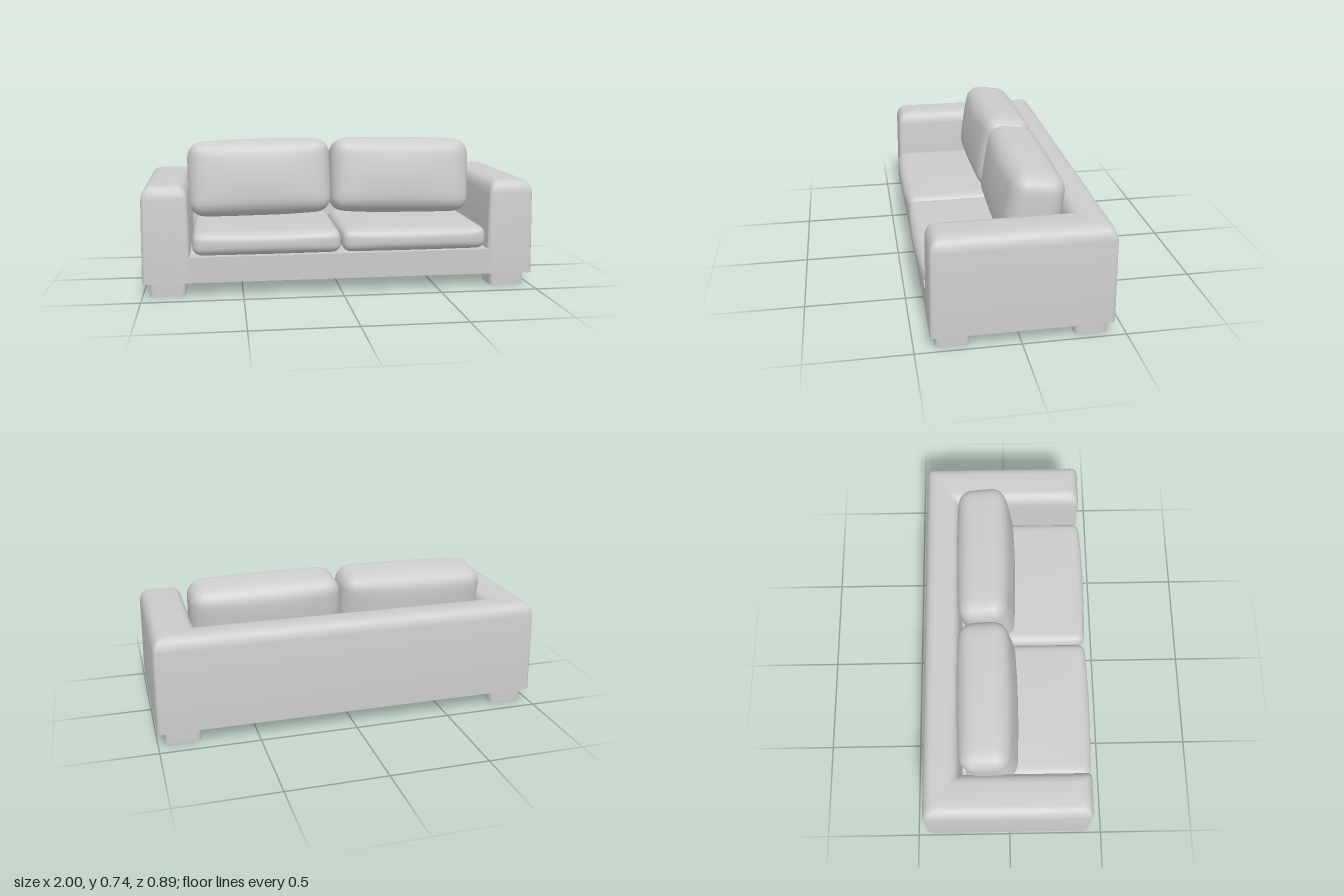
import * as THREE from 'three';
import { mergeVertices, toCreasedNormals } from 'three/addons/utils/BufferGeometryUtils.js';

const grey = new THREE.MeshStandardMaterial({ color: 0xcccccc });
const greyOpen = new THREE.MeshStandardMaterial({ color: 0xcccccc, side: THREE.DoubleSide });

function addMesh(parent, name, geometry, material = grey) {
  const mesh = new THREE.Mesh(geometry, material);
  mesh.name = name;
  parent.add(mesh);
  return mesh;
}

// Polygon outline with every corner replaced by a curve of radius r
function roundCorners(corners, r, steps = 4) {
  const pts = [];
  corners.forEach((c, i) => {
    const n = corners.length;
    const toward = (o) => c.clone().add(o.clone().sub(c).setLength(r));
    const a = toward(corners[(i + n - 1) % n]), b = toward(corners[(i + 1) % n]);
    pts.push(...new THREE.QuadraticBezierCurve(a, c, b).getPoints(steps));
  });
  return pts;
}

// Skin over stacked outlines (counter-clockwise in x, -z), optionally capped
function loft(rings, heights, capped) {
  const n = rings[0].length, pos = [], index = [];
  rings.forEach((ring, k) => ring.forEach((p) => pos.push(p.x, heights[k], -p.y)));
  for (let k = 0; k < rings.length - 1; k++) {
    for (let i = 0; i < n; i++) {
      const a = k * n + i, b = k * n + (i + 1) % n;
      index.push(a, b, b + n, a, b + n, a + n);
    }
  }
  if (capped) {
    const top = (rings.length - 1) * n;
    for (const [a, b, c] of THREE.ShapeUtils.triangulateShape(rings[rings.length - 1], [])) {
      index.push(top + a, top + b, top + c);
    }
    for (const [a, b, c] of THREE.ShapeUtils.triangulateShape(rings[0], [])) index.push(a, c, b);
  }
  const g = new THREE.BufferGeometry();
  g.setAttribute('position', new THREE.Float32BufferAttribute(pos, 3));
  g.setIndex(index);
  return toCreasedNormals(g, 0.7);
}

// U-shaped plan of arms and back, moved inward by d
function framePlan(d) {
  const X = 1 - d, x = 0.76 + d, front = -0.425 + d, back = 0.445 - d, inner = 0.25 + d;
  const corners = [[-X, front], [-x, front], [-x, inner], [x, inner], [x, front], [X, front], [X, back], [-X, back]];
  return roundCorners(corners.map(([a, b]) => new THREE.Vector2(a, b)), 0.025);
}

// Soft rounded block with bulging faces
function cushionGeometry(w, h, d, r, bulge) {
  const g = new THREE.BoxGeometry(2, 2, 2, 24, 20, 24);
  g.deleteAttribute('normal');
  g.deleteAttribute('uv');
  const pos = g.attributes.position;
  const half = new THREE.Vector3(w / 2, h / 2, d / 2);
  const core = half.clone().subScalar(r), low = core.clone().negate();
  const p = new THREE.Vector3(), q = new THREE.Vector3();
  const crowd = (t) => Math.sin(t * Math.PI / 2);
  for (let i = 0; i < pos.count; i++) {
    p.fromBufferAttribute(pos, i);
    p.set(crowd(p.x), crowd(p.y), crowd(p.z)).multiply(half);
    q.copy(p).clamp(low, core);
    p.sub(q).setLength(r).add(q);
    const u = p.x / half.x, v = p.y / half.y, s = p.z / half.z;
    const fx = 1 - u * u, fy = 1 - v * v, fz = 1 - s * s;
    p.x += bulge.x * u * fy * fz;
    p.y += bulge.y * v * fx * fz;
    p.z += bulge.z * s * fx * fy;
    pos.setXYZ(i, p.x, p.y, p.z);
  }
  const out = mergeVertices(g, 1e-5);
  out.computeVertexNormals();
  return out;
}

export function createModel() {
  const sofa = new THREE.Group();
  sofa.name = 'sofa';

  // Arms and back in one piece, slightly tapered with a rounded top
  const insets = [0, 0.006, 0.011, 0.022, 0.038, 0.06];
  const heights = [0.07, 0.49, 0.515, 0.539, 0.552, 0.558];
  addMesh(sofa, 'armsAndBack', loft(insets.map(framePlan), heights, true));

  // Base between the arms
  const base = addMesh(sofa, 'seatBase', new THREE.BoxGeometry(1.6, 0.13, 0.8235));
  base.position.set(0, 0.1355, 0.0105);

  // Cushions, one pair per side
  const seat = cushionGeometry(0.745, 0.118, 0.66, 0.045, new THREE.Vector3(0.003, 0.008, 0.012));
  const back = cushionGeometry(0.765, 0.4, 0.255, 0.075, new THREE.Vector3(0.008, 0.012, 0.022));
  for (const side of [1, -1]) {
    const label = side > 0 ? 'left' : 'right';
    addMesh(sofa, label + 'SeatCushion', seat).position.set(side * 0.376, 0.262, 0.103);
    const cushion = addMesh(sofa, label + 'BackCushion', back);
    cushion.position.set(side * 0.39, 0.525, -0.105);
    cushion.rotation.set(-0.15, 0, -side * 0.02);
  }

  // Hollow feet
  const c = [[-0.09, -0.08], [0.09, -0.08], [0.09, 0.08], [-0.09, 0.08]];
  const ring = roundCorners(c.map(([a, b]) => new THREE.Vector2(a, b)), 0.03);
  const foot = loft([ring, ring], [0, 0.075], false);
  for (const x of [1, -1]) {
    for (const z of [0.32, -0.338]) {
      const name = (z > 0 ? 'front' : 'back') + (x > 0 ? 'Left' : 'Right') + 'Foot';
      addMesh(sofa, name, foot, greyOpen).position.set(x * 0.876, 0, z);
    }
  }
  return sofa;
}
